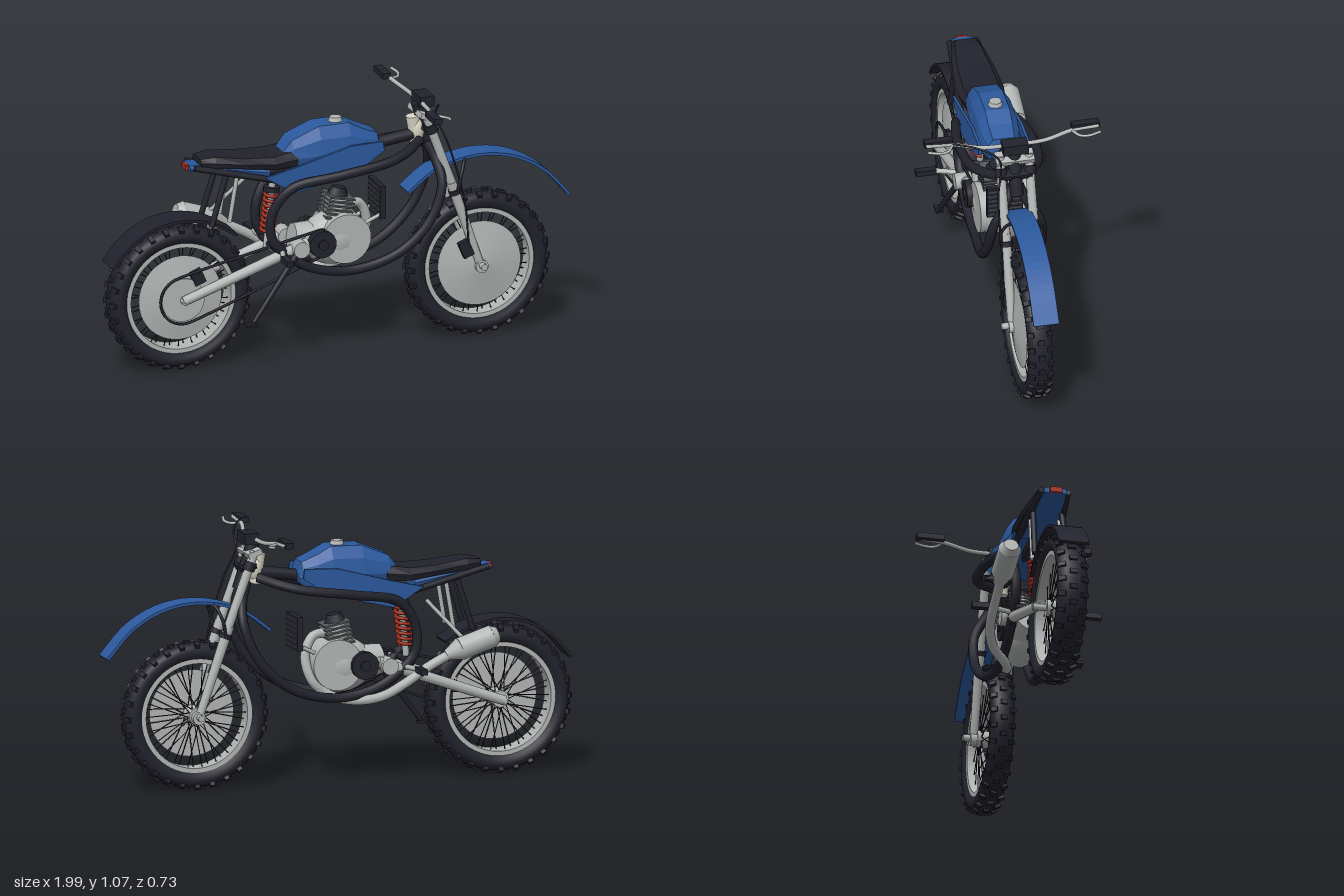
import * as THREE from 'three';
import { mergeGeometries } from 'three/addons/utils/BufferGeometryUtils.js';

const mat = (name, color) => Object.assign(new THREE.MeshStandardMaterial({ color }), { name });
const V = (p) => new THREE.Vector3(...p);

export function createModel() {
  const black = mat('black', 0x22222d), blue = mat('blue', 0x2c5a9f), silver = mat('silver', 0xb2b6b4);
  const cream = mat('cream', 0xd6d5c4), red = mat('red', 0xa52c1c), iron = mat('iron', 0x55585c);
  blue.side = THREE.DoubleSide;
  const model = new THREE.Group();
  model.name = 'motorcycle';

  const add = (name, geo, m, pos = [0, 0, 0], parent = model) => {
    const mesh = new THREE.Mesh(geo, m);
    mesh.name = name;
    mesh.position.set(...pos);
    parent.add(mesh);
    return mesh;
  };
  const box = (name, size, m, pos, rz = 0) => {
    const b = add(name, new THREE.BoxGeometry(...size), m, pos);
    b.rotation.z = rz;
    return b;
  };
  // Straight bar between two points, r at a and r2 at b
  const rodGeo = (a, b, r, r2 = r, n = 12) => {
    const d = V(b).sub(V(a));
    const g = new THREE.CylinderGeometry(r2, r, d.length(), n);
    g.applyQuaternion(new THREE.Quaternion().setFromUnitVectors(V([0, 1, 0]), d.normalize()));
    const c = V(a).add(V(b)).multiplyScalar(0.5);
    return g.translate(c.x, c.y, c.z);
  };
  const rod = (name, a, b, r, m, r2 = r, n = 12) => add(name, rodGeo(a, b, r, r2, n), m);
  const tube = (name, pts, r, m, seg = 48) =>
    add(name, new THREE.TubeGeometry(new THREE.CatmullRomCurve3(pts.map(V)), seg, r, 10), m);
  const disc = (name, x, y, z, r, depth, m, n = 24) => {
    const g = new THREE.CylinderGeometry(r, r, depth, n).rotateX(Math.PI / 2);
    return add(name, g, m, [x, y, z]);
  };
  const lathe = (pts, n = 48) =>
    new THREE.LatheGeometry(pts.map((p) => new THREE.Vector2(...p)), n).rotateX(Math.PI / 2);
  // Faceted body from mirrored half sections: [x, [[z, y], ... bottom to top]]
  const loft = (sections) => {
    const rings = sections.map(([x, half]) => [
      ...half.map(([z, y]) => [x, y, z]), ...[...half].reverse().map(([z, y]) => [x, y, -z])]);
    const n = rings[0].length, out = [];
    for (let i = 0; i < rings.length - 1; i++) for (let j = 0; j < n; j++) {
      const k = (j + 1) % n, A = rings[i], B = rings[i + 1];
      out.push(...A[j], ...B[j], ...A[k], ...B[j], ...B[k], ...A[k]);
    }
    const first = rings[0], last = rings[rings.length - 1];
    for (let j = 1; j < n - 1; j++) {
      out.push(...first[0], ...first[j], ...first[j + 1]);
      out.push(...last[0], ...last[j + 1], ...last[j]);
    }
    const g = new THREE.BufferGeometry();
    g.setAttribute('position', new THREE.Float32BufferAttribute(out, 3));
    g.computeVertexNormals();
    return g;
  };
  const both = (fn) => [1, -1].forEach((s) => fn(s));

  // Wheels: knobbly tyre, rim, spokes, hub and a domed cover on one side
  const wheel = (name, x, w) => {
    const g = new THREE.Group();
    g.name = name;
    g.position.set(x, 0.31, 0);
    model.add(g);
    const tyre = [[0.232, -0.7], [0.25, -0.95], [0.27, -1], [0.287, -0.85], [0.298, -0.5], [0.301, 0],
      [0.298, 0.5], [0.287, 0.85], [0.27, 1], [0.25, 0.95], [0.232, 0.7], [0.232, -0.7]];
    add('tyre', lathe(tyre.map(([r, z]) => [r, -z * w]).reverse(), 64), black, [0, 0, 0], g).scale.z = -1;
    const knobs = [], spokes = [];
    for (let i = 0; i < 28; i++) {
      const a = (i / 28) * Math.PI * 2;
      both((s) => {
        knobs.push(new THREE.BoxGeometry(0.02, 0.03, w * 0.5).rotateX(s * 0.5)
          .translate(0, 0.288, s * w * 0.68).rotateZ(a));
      });
      knobs.push(new THREE.BoxGeometry(0.02, 0.02, w * 0.5).translate(0, 0.2995, 0).rotateZ(a + 0.11));
    }
    add('tyreKnobs', mergeGeometries(knobs), black, [0, 0, 0], g);
    for (let i = 0; i < 44; i++) {
      const a = (i / 44) * Math.PI * 2, b = a + (i % 4 < 2 ? 0.5 : -0.5), z = i % 2 ? 0.035 : -0.035;
      spokes.push(rodGeo([0.03 * Math.cos(b), 0.03 * Math.sin(b), z],
        [0.22 * Math.cos(a), 0.22 * Math.sin(a), z * 0.3], 0.0022, 0.0022, 5));
    }
    add('spokes', mergeGeometries(spokes), black, [0, 0, 0], g);
    const rim = new THREE.Shape().absarc(0, 0, 0.236, 0, Math.PI * 2);
    rim.holes.push(new THREE.Path().absarc(0, 0, 0.217, 0, Math.PI * 2));
    add('rim', new THREE.ExtrudeGeometry(rim, { depth: w * 1.5, bevelEnabled: false, curveSegments: 32 }),
      silver, [0, 0, -w * 0.75], g);
    add('hub', new THREE.CylinderGeometry(0.035, 0.035, 0.1, 20).rotateX(Math.PI / 2), silver, [0, 0, 0], g);
    add('axle', new THREE.CylinderGeometry(0.014, 0.014, 0.21, 12).rotateX(Math.PI / 2), silver, [0, 0, 0], g);
    const cover = new THREE.CylinderGeometry(0.035, 0.18, 0.022, 40).rotateX(Math.PI / 2);
    add('wheelCover', cover, silver, [0, 0, 0.047], g);
  };
  wheel('rearWheel', -0.695, 0.063);
  wheel('frontWheel', 0.6, 0.051);

  // Fenders: thin arcs swept across the wheel
  const fender = (name, pts, w, m) => {
    const line = new THREE.SplineCurve(pts.map((p) => new THREE.Vector2(...p)));
    const top = line.getPoints(24);
    const low = top.map((p, i) => {
      const t = line.getTangent(i / 24);
      return new THREE.Vector2(p.x + t.y * 0.012, p.y - t.x * 0.012);
    });
    const geo = new THREE.ExtrudeGeometry(new THREE.Shape([...top, ...low.reverse()]), { depth: 2 * w, bevelEnabled: false });
    add(name, geo, m, [0, 0, -w]);
  };
  fender('frontFender', [[0.285, 0.655], [0.41, 0.745], [0.58, 0.785], [0.74, 0.765], [0.88, 0.69], [0.99, 0.57]], 0.053, blue);
  fender('rearFender', [[-1, 0.475], [-0.92, 0.565], [-0.82, 0.627], [-0.7, 0.65], [-0.57, 0.628], [-0.455, 0.565]], 0.064, black);

  // Fork, clamps and steering
  both((s) => {
    const z = s * 0.06;
    rod('forkTube', [0.36, 0.985, z], [0.5, 0.6, z], 0.019, silver);
    rod('forkLower', [0.47, 0.68, z], [0.6, 0.3, z], 0.022, silver, 0.017);
    rod('forkClamp', [0.375, 0.94, z], [0.388, 0.905, z], 0.026, black);
    rod('forkSeal', [0.482, 0.65, z], [0.49, 0.63, z], 0.027, black);
    disc('forkFoot', 0.6, 0.305, z, 0.027, 0.032, silver, 16);
    tube('fenderStay', [[0.49, 0.64, s * 0.082], [0.505, 0.71, s * 0.085], [0.53, 0.765, s * 0.055], [0.56, 0.775, s * 0.01]], 0.007, black, 16);
  });
  box('topClamp', [0.06, 0.022, 0.16], silver, [0.362, 0.975, 0], -0.35);
  box('lowerClamp', [0.06, 0.025, 0.13], black, [0.382, 0.915, 0], -0.35);
  rod('steeringStem', [0.345, 1.02, 0], [0.41, 0.82, 0], 0.028, black);
  rod('headTube', [0.325, 0.965, 0], [0.34, 0.84, 0], 0.03, cream, 0.024);
  add('headShell', new THREE.SphereGeometry(0.045, 16, 12).scale(0.7, 1.3, 0.8), cream, [0.342, 0.905, 0]);
  box('frontCaliper', [0.045, 0.07, 0.025], black, [0.53, 0.39, 0.07], 0.4);
  box('rearCaliper', [0.05, 0.06, 0.025], black, [-0.63, 0.4, 0.065], 0.4);

  // Handlebar, grips, levers and cable
  tube('handlebar', [[0.32, 1.052, -0.36], [0.32, 1.045, -0.25], [0.345, 1.03, -0.13], [0.35, 1.03, 0],
    [0.345, 1.03, 0.13], [0.32, 1.045, 0.25], [0.32, 1.052, 0.36]], 0.009, silver);
  box('instrumentBox', [0.06, 0.045, 0.105], black, [0.37, 1.033, 0]);
  both((s) => {
    box('grip', [0.035, 0.024, 0.115], black, [0.305, 1.055, s * 0.307]);
    tube('lever', [[0.325, 1.045, s * 0.25], [0.36, 1.042, s * 0.275], [0.372, 1.045, s * 0.31], [0.362, 1.05, s * 0.36]], 0.006, silver, 20);
  });
  tube('brakeCable', [[0.33, 1.055, 0.25], [0.37, 1.053, 0.17], [0.4, 1.03, 0.1], [0.4, 0.98, 0.065], [0.45, 0.85, 0.085], [0.52, 0.6, 0.085], [0.54, 0.4, 0.08]], 0.004, black);

  // Looped frame tubes
  both((s) => {
    const path = [[0.34, 0.87, 0.04], [0.26, 0.845, 0.105], [0.17, 0.825, 0.142], [-0.04, 0.795, 0.15], [-0.24, 0.75, 0.115],
      [-0.315, 0.65, 0.095], [-0.318, 0.54, 0.09], [-0.26, 0.465, 0.09], [-0.14, 0.39, 0.09], [0.03, 0.362, 0.09],
      [0.22, 0.415, 0.105], [0.355, 0.535, 0.112], [0.418, 0.69, 0.095], [0.405, 0.79, 0.04], [0.38, 0.85, 0.015]];
    tube('frameLoop', path.map(([x, y, z]) => [x, y, z * s]), 0.02, black, 110);
    rod('seatRail', [-0.64, 0.865, s * 0.055], [-0.24, 0.77, s * 0.09], 0.013, black);
    rod('seatStrut', [-0.5, 0.84, s * 0.06], [-0.57, 0.61, s * 0.068], 0.012, black);
    rod('fenderStrut', [-0.455, 0.83, s * 0.06], [-0.49, 0.62, s * 0.06], 0.009, silver);
    rod('swingarm', [-0.16, 0.5, s * 0.085], [-0.7, 0.31, s * 0.09], 0.024, silver, 0.02);
    rod('footpegMount', [-0.27, 0.475, s * 0.08], [-0.3, 0.48, s * 0.19], 0.011, silver);
    rod('pivotBoss', [-0.2, 0.485, s * 0.06], [-0.2, 0.485, s * 0.13], 0.035, silver);
    box('footpeg', [0.028, 0.024, 0.085], black, [-0.3, 0.48, s * 0.228]);
  });
  rod('backbone', [0.34, 0.89, 0], [-0.3, 0.8, 0], 0.025, black);
  rod('frameCrossTube', [-0.3, 0.49, -0.09], [-0.3, 0.49, 0.09], 0.015, black);
  rod('kickstand', [-0.22, 0.46, 0.11], [-0.415, 0.205, 0.145], 0.014, black, 0.01);
  box('kickstandFoot', [0.05, 0.01, 0.032], black, [-0.425, 0.197, 0.147]);

  // Shock absorber with coil spring
  const coil = [];
  for (let i = 0; i <= 96; i++) {
    const a = (i / 12) * Math.PI * 2, t = i / 96;
    coil.push([-0.305 + 0.02 * t + 0.028 * Math.cos(a), 0.54 + 0.17 * t, 0.028 * Math.sin(a)]);
  }
  tube('shockSpring', coil, 0.007, red, 200);
  rod('shockBody', [-0.31, 0.47, 0], [-0.28, 0.78, 0], 0.014, silver);
  rod('shockCollar', [-0.288, 0.71, 0], [-0.286, 0.73, 0], 0.034, black);

  // Tank, cap, side panels, seat and tail
  const tankSec = (x, lo, hi, w, top) => [x, [[w * 0.85, lo], [w, lo + (hi - lo) * 0.35], [w * 0.88, lo + (hi - lo) * 0.72], [top, hi]]];
  add('tank', loft([tankSec(-0.255, 0.83, 0.885, 0.06, 0.045), tankSec(-0.215, 0.82, 0.935, 0.08, 0.05),
    tankSec(-0.1, 0.81, 0.982, 0.092, 0.05), tankSec(0.03, 0.81, 0.984, 0.092, 0.05), tankSec(0.09, 0.82, 0.952, 0.088, 0.05),
    tankSec(0.155, 0.83, 0.925, 0.07, 0.045), tankSec(0.168, 0.85, 0.885, 0.06, 0.04)]), blue);
  add('fuelCap', new THREE.CylinderGeometry(0.026, 0.033, 0.02, 8), silver, [-0.01, 0.99, 0]);
  const panel = new THREE.Shape([[-0.35, 0.805], [-0.22, 0.725], [-0.1, 0.755], [0.09, 0.815], [0.165, 0.865], [0.16, 0.905],
    [0.02, 0.9], [-0.2, 0.84]].map((p) => new THREE.Vector2(...p)));
  both((s) => add('sidePanel', new THREE.ExtrudeGeometry(panel, { depth: 0.012, bevelEnabled: false }), blue, [0, 0, s * 0.1 - 0.006]));
  const seatSec = (x, lo, hi, w) => [x, [[w * 0.9, lo], [w, (lo + hi) / 2], [w * 0.75, hi]]];
  add('seat', loft([seatSec(-0.61, 0.87, 0.895, 0.055), seatSec(-0.55, 0.855, 0.902, 0.07), seatSec(-0.42, 0.845, 0.885, 0.09),
    seatSec(-0.3, 0.83, 0.88, 0.098), seatSec(-0.2, 0.83, 0.895, 0.085)]), black);
  add('tail', loft([seatSec(-0.655, 0.85, 0.873, 0.05), seatSec(-0.5, 0.83, 0.862, 0.065), seatSec(-0.32, 0.79, 0.845, 0.08)]), blue);
  box('tailLamp', [0.016, 0.022, 0.05], red, [-0.66, 0.861, 0]);

  // Engine: crankcase, finned cylinder, covers and radiator
  add('crankcase', new THREE.SphereGeometry(1, 24, 16).scale(0.14, 0.115, 0.09), silver, [-0.02, 0.485, 0]);
  disc('crankCover', 0.01, 0.495, 0, 0.105, 0.17, silver, 28);
  rod('gearbox', [-0.2, 0.5, 0], [-0.06, 0.48, 0], 0.06, silver, 0.085, 16);
  rod('cylinder', [-0.02, 0.55, 0], [0.0, 0.655, 0], 0.05, silver);
  for (let i = 0; i < 6; i++) {
    box('coolingFin', [0.11, 0.007, 0.12], iron, [-0.017 + i * 0.004, 0.575 + i * 0.017, 0], -0.2);
  }
  rod('cylinderHead', [0.0, 0.665, 0], [0.006, 0.695, 0], 0.045, black, 0.03, 8);
  both((s) => {
    disc('sideCover', -0.1, 0.49, s * 0.09, 0.058, 0.035, black, 14);
    disc('coverBolt', -0.1, 0.49, s * 0.11, 0.022, 0.01, black, 10);
  });
  box('radiator', [0.024, 0.14, 0.15], black, [0.17, 0.63, 0]);
  for (let i = 0; i < 6; i++) box('radiatorRib', [0.03, 0.006, 0.14], iron, [0.17, 0.575 + i * 0.022, 0]);
  both((s) => rod('radiatorBracket', [0.17, 0.58, s * 0.06], [0.09, 0.54, s * 0.05], 0.008, silver));

  // Exhaust and muffler
  tube('exhaustPipe', [[0.03, 0.62, 0], [0.1, 0.61, -0.02], [0.135, 0.53, -0.03], [0.11, 0.43, -0.05], [0.03, 0.365, -0.05],
    [-0.07, 0.345, -0.08], [-0.16, 0.37, -0.15], [-0.24, 0.42, -0.18], [-0.35, 0.49, -0.182], [-0.47, 0.55, -0.182]], 0.02, silver, 80);
  rod('mufflerCone', [-0.42, 0.53, -0.182], [-0.48, 0.553, -0.182], 0.02, silver, 0.047, 20);
  rod('muffler', [-0.48, 0.553, -0.182], [-0.615, 0.598, -0.182], 0.047, silver, 0.047, 20);
  rod('mufflerTip', [-0.615, 0.598, -0.182], [-0.64, 0.606, -0.182], 0.047, silver, 0.03, 20);
  rod('mufflerStay', [-0.36, 0.75, -0.1], [-0.5, 0.59, -0.17], 0.008, silver);

  // Drive chain around both sprockets
  const chain = [], rear = [-0.695, 0.31, 0.1], front = [-0.1, 0.49, 0.055], tilt = 0.294;
  [[rear, 1], [front, -1]].forEach(([[x, y, r], side]) => {
    for (let i = 0; i <= 12; i++) {
      const a = tilt + (side > 0 ? Math.PI / 2 : -Math.PI / 2) + (i / 12) * Math.PI;
      chain.push(V([x + r * Math.cos(a), y + r * Math.sin(a), 0.078]));
    }
  });
  const loop = new THREE.CatmullRomCurve3(chain, true, 'centripetal');
  add('driveChain', new THREE.TubeGeometry(loop, 140, 0.006, 6, true), black);
  disc('rearSprocket', rear[0], rear[1], 0.07, 0.092, 0.008, silver, 32);
  return model;
}
